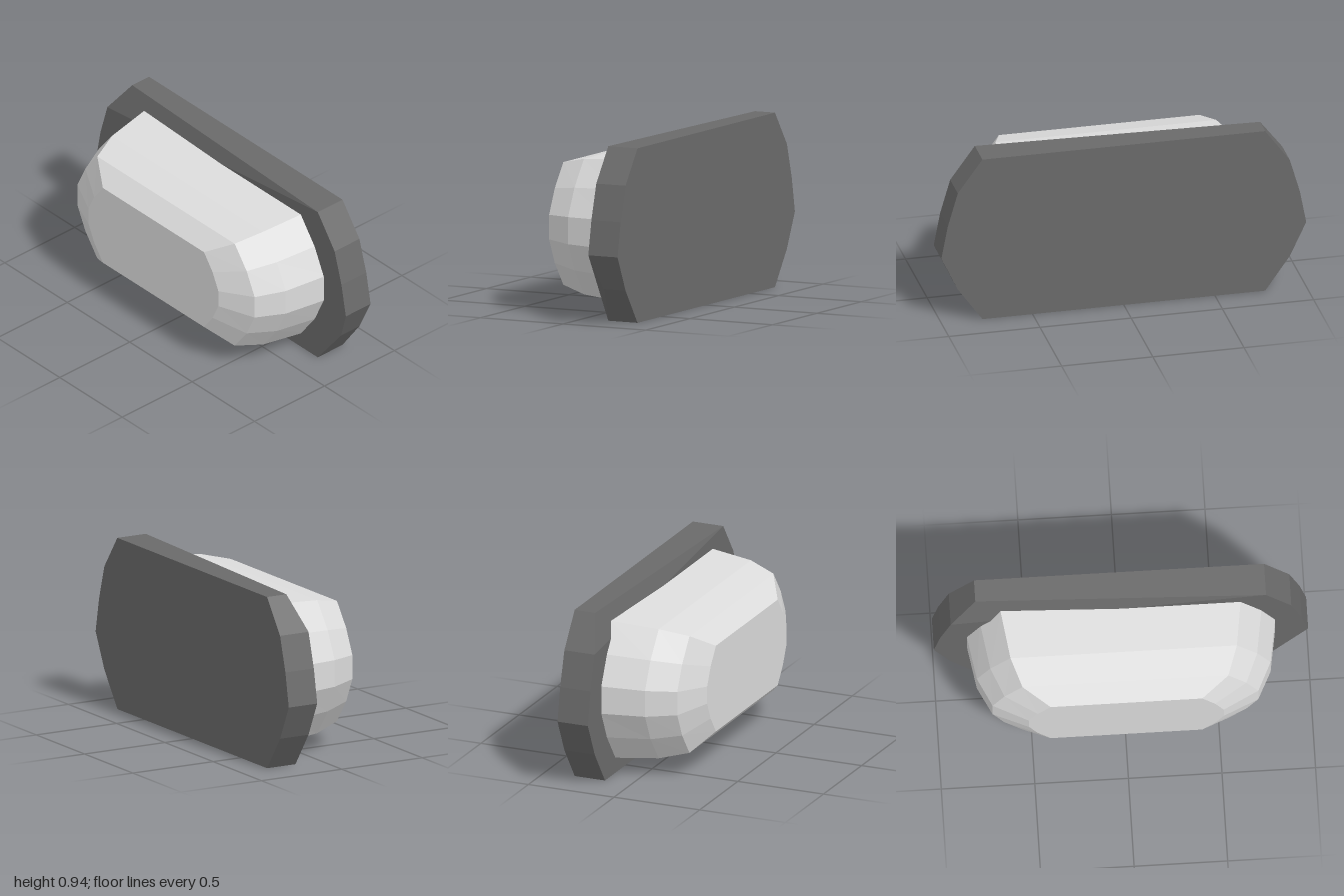
import * as THREE from 'three';

const plateMat = new THREE.MeshStandardMaterial({ color: 0x6a6a6a });
plateMat.name = 'dark grey';
const domeMat = new THREE.MeshStandardMaterial({ color: 0xdcdcdc });
domeMat.name = 'light grey';

// Joins equal outlines (listed back to front, counter-clockwise from +z) with flat facets
function loft(rings, frontFaces) {
  const n = rings[0].length;
  const index = [];
  for (let r = 0; r < rings.length - 1; r++) {
    for (let i = 0; i < n; i++) {
      const j = (i + 1) % n, a = r * n, b = a + n;
      index.push(a + i, a + j, b + j, a + i, b + j, b + i);
    }
  }
  for (let i = 1; i < n - 1; i++) index.push(0, i + 1, i);
  const last = (rings.length - 1) * n;
  frontFaces.flat().forEach((i) => index.push(last + i));
  const geo = new THREE.BufferGeometry();
  geo.setAttribute('position', new THREE.Float32BufferAttribute(rings.flat(2), 3));
  geo.setIndex(index);
  const flat = geo.toNonIndexed();
  flat.computeVertexNormals();
  return flat;
}

// Triangle fan over the listed corners
const fan = (ids) => ids.slice(1, -1).map((v, i) => [ids[0], v, ids[i + 2]]);

export function createModel() {
  const group = new THREE.Group();
  group.name = 'wallLamp';

  // Backing plate, with two front corners chipped back
  const outline = [
    [-0.775, 0], [0.775, 0], [0.91, 0.19], [1, 0.38], [0.965, 0.565], [0.91, 0.755],
    [0.775, 0.94], [-0.775, 0.94], [-0.91, 0.755], [-0.965, 0.565], [-1, 0.38], [-0.91, 0.19],
  ];
  const chips = { 2: -0.2, 7: -0.21 };
  const back = outline.map(([x, y]) => [x, y, -0.33]);
  const front = outline.map(([x, y], i) => [x, y, chips[i] ?? -0.153]);
  const plateFront = [[1, 2, 3], [6, 7, 8], ...fan([0, 1, 3, 4, 5, 6, 8, 9, 10, 11])];
  const plate = new THREE.Mesh(loft([back, front], plateFront), plateMat);
  plate.name = 'backingPlate';
  group.add(plate);

  // Bulging cover: z, half height, half length of the straight edge, half length overall
  const sections = [
    [-0.18, 0.387, 0.643, 0.828],
    [0.085, 0.365, 0.605, 0.785],
    [0.24, 0.33, 0.55, 0.71],
    [0.33, 0.242, 0.405, 0.52],
  ];
  // Rounded end as [outward, upward] fractions, from bottom to top
  const end = [[0, -1], [0.6, -0.61], [1, -0.2], [1, 0.2], [0.6, 0.61], [0, 1]];
  const rings = sections.map(([z, h, straight, full]) => {
    const side = end.map(([o, u]) => [straight + o * (full - straight), 0.47 + u * h, z]);
    const mirrored = side.map(([x, y]) => [-x, y, z]).reverse();
    return [...side, ...mirrored];
  });
  const cover = new THREE.Mesh(loft(rings, fan(rings[0].map((_, i) => i))), domeMat);
  cover.name = 'cover';
  group.add(cover);

  return group;
}
